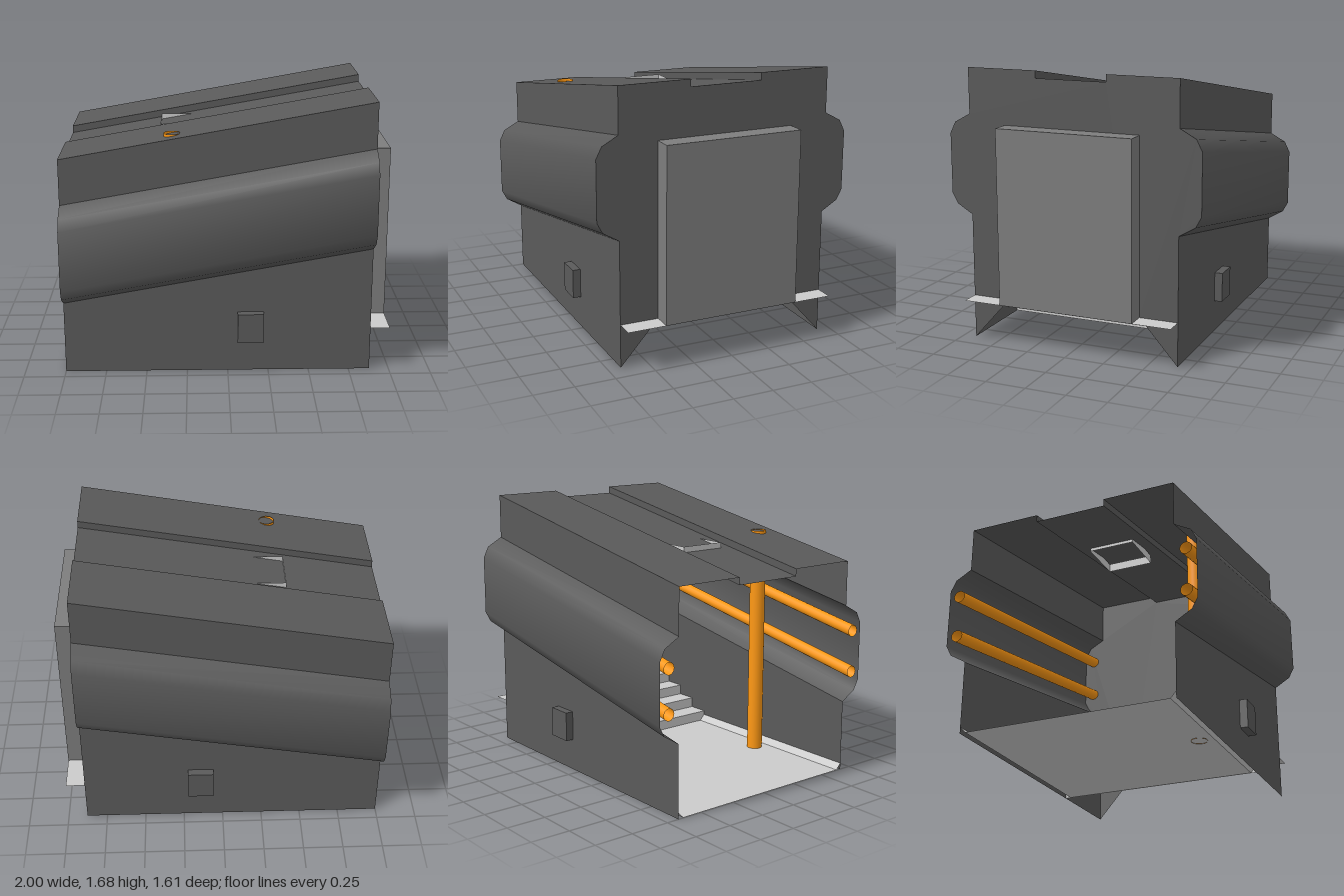
import * as THREE from 'three';
import { toCreasedNormals } from 'three/addons/utils/BufferGeometryUtils.js';

const SLOPE = 0.178, BACK = -1, END = 0.88;
const mat = (color) => new THREE.MeshStandardMaterial({ color, side: THREE.DoubleSide });
const dark = mat(0x5a5a5a), doorGrey = mat(0x7d7d7d), grey = mat(0xcccccc), orange = mat(0xff9914);

// Ruled sheet between two polylines of equal length
function sheet(a, b) {
  const p = [];
  for (let i = 0; i < a.length - 1; i++) {
    p.push(...a[i], ...b[i], ...b[i + 1], ...a[i], ...b[i + 1], ...a[i + 1]);
  }
  const g = new THREE.BufferGeometry();
  g.setAttribute('position', new THREE.Float32BufferAttribute(p, 3));
  return toCreasedNormals(g, 0.7);
}

export function createModel() {
  const model = new THREE.Group();
  const add = (name, geometry, material) => {
    const m = new THREE.Mesh(geometry, material);
    m.name = name;
    model.add(m);
    return m;
  };
  const box = (name, x0, x1, y0, y1, z0, z1, material) =>
    add(name, new THREE.BoxGeometry(x1 - x0, y1 - y0, z1 - z0), material)
      .position.set((x0 + x1) / 2, (y0 + y1) / 2, (z0 + z1) / 2);

  // Cross-section [z, y] at the tall end: wall, side bulge, roof, sunken roof strip
  const half = [
    [0.67, 0], [0.67, 0.785], [0.77, 0.845], [0.805, 0.91], [0.805, 1.28],
    [0.77, 1.35], [0.67, 1.405], [0.67, 1.685], [0.225, 1.685], [0.225, 1.64],
  ];
  const profile = [...half, ...half.map(([z, y]) => [-z, y]).reverse()];
  const section = (x) => profile.map(([z, y]) => [x, y === 0 ? 0 : y + SLOPE * (x - END), z]);
  add('bodyShell', sheet(section(BACK), section(END)), dark);

  // End wall with the trapezoid cut-out above the steps
  const outline = [...profile, [-0.43, 0.27], [0.43, 0.27]];
  const wall = new THREE.Shape(outline.map(([z, y]) => new THREE.Vector2(-z, y)));
  add('endWall', new THREE.ShapeGeometry(wall).rotateY(Math.PI / 2).translate(END, 0, 0), dark);
  box('door', END, 1, 0.27, 1.35, -0.43, 0.43, doorGrey);

  // Steps running down from the door sill to the floor
  const steps = [[1, 0.27]];
  for (let i = 0; i < 4; i++) {
    const x = 0.75 - i * 0.136;
    steps.push([x, 0.27 - i * 0.0675], [x, 0.27 - (i + 1) * 0.0675]);
  }
  const stepLine = (z) => steps.map(([x, y]) => [x, y, z]);
  add('steps', sheet(stepLine(0.67), stepLine(-0.67)), grey);

  // Floor with narrow turned-up edges
  const floorLine = (x) => [[0.67, 0.04], [0.635, 0.002], [-0.635, 0.002], [-0.67, 0.04]]
    .map(([z, y]) => [x, y, z]);
  add('floor', sheet(floorLine(BACK), floorLine(0.342)), grey);

  // Pipes inside the bulges and a small box on each side
  for (const s of [1, -1]) {
    for (const y of [0.9, 0.635]) {
      const g = new THREE.CylinderGeometry(0.037, 0.037, END - BACK, 16, 1, true);
      g.rotateZ(Math.PI / 2);
      g.applyMatrix4(new THREE.Matrix4().makeShear(SLOPE, 0, 0, 0, 0, 0));
      add('sidePipe', g, orange)
        .position.set((BACK + END) / 2, y + SLOPE * (END - BACK) / 2, s * 0.74);
    }
    const z = [s * 0.67, s * 0.72].sort((a, b) => a - b);
    box('sideBox', 0.06, 0.22, 0.2, 0.385, z[0], z[1], dark);
  }

  // Upright pipe through the roof
  add('uprightPipe', new THREE.CylinderGeometry(0.05, 0.05, 1.48, 20, 1, true), orange)
    .position.set(-0.33, 0.74, 0.545);

  // Open rectangular frame poking through the roof strip
  const ring = (y) => [[-0.41, 0.15], [-0.11, 0.15], [-0.11, -0.15], [-0.41, -0.15], [-0.41, 0.15]]
    .map(([x, z]) => [x, y, z]);
  add('roofFrame', sheet(ring(1.446), ring(1.39)), grey);

  return model;
}
